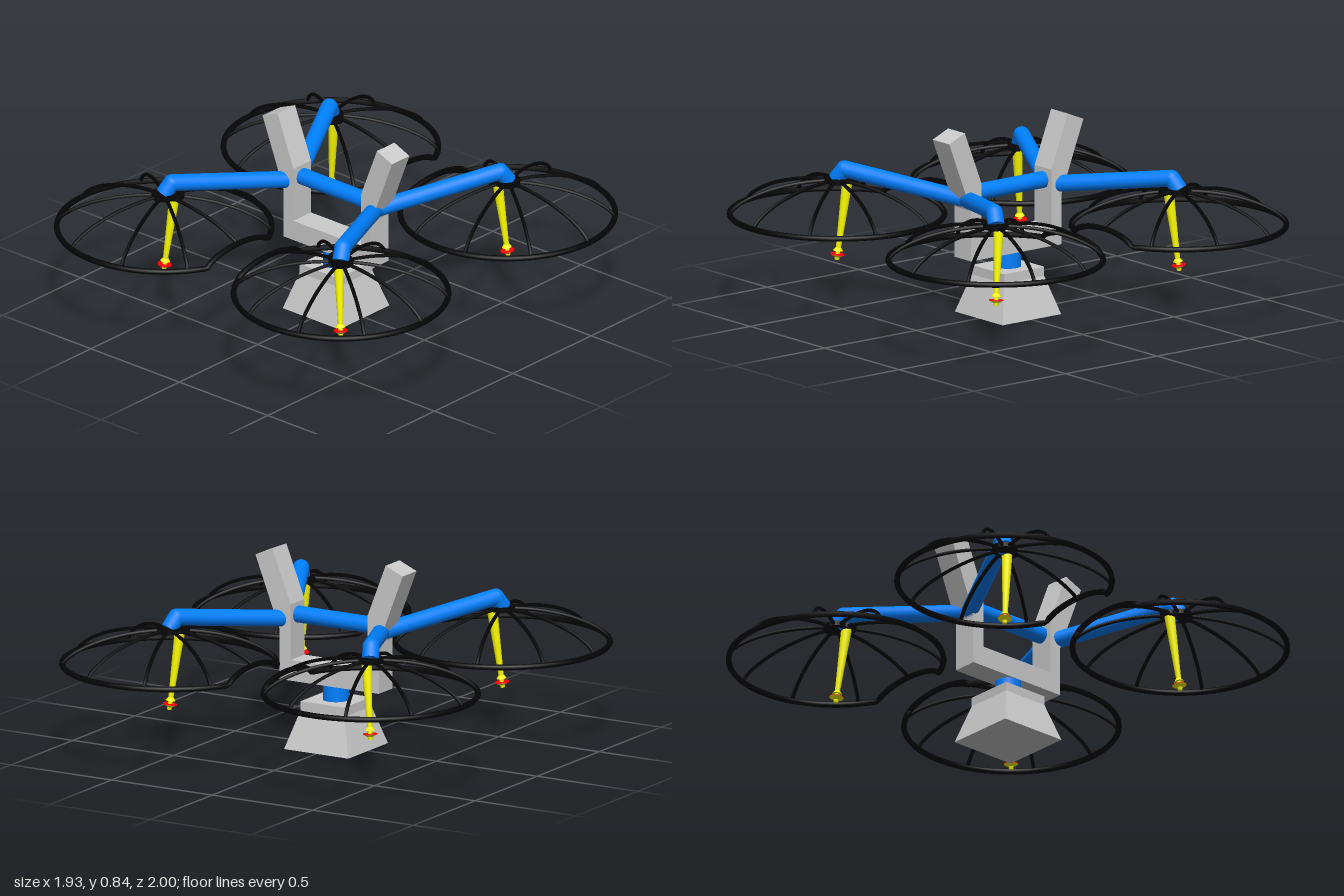
import * as THREE from 'three';

const mat = (color, extra = {}) => new THREE.MeshStandardMaterial({ color, ...extra });
const GREY = mat(0xcccccc, { flatShading: true });
const BLUE = mat(0x0080ff);
const BLACK = mat(0x050505);
const YELLOW = mat(0xffff00);
const RED = mat(0xff0000);
const V = (x, y, z) => new THREE.Vector3(x, y, z);

function add(parent, name, geometry, material, x = 0, y = 0, z = 0) {
  const mesh = new THREE.Mesh(geometry, material);
  mesh.name = name;
  mesh.position.set(x, y, z);
  parent.add(mesh);
  return mesh;
}

// Straight round bar between two points
function bar(parent, name, a, b, ra, rb, material) {
  const mesh = add(parent, name, new THREE.CylinderGeometry(rb, ra, a.distanceTo(b), 20), material);
  mesh.position.copy(a).lerp(b, 0.5);
  mesh.quaternion.setFromUnitVectors(V(0, 1, 0), b.clone().sub(a).normalize());
  return mesh;
}

// Guard cage: height of the dome above its rim at distance r from the hub
const R = 0.455, CUT = 0.413, RIM_Y = 0.409;
const domeY = (r) => RIM_Y + 0.146 * Math.pow(Math.max(0, 1 - (r / R) ** 2), 0.67);

function createGuard(sx) {
  const guard = new THREE.Group();
  guard.name = 'rotorGuard';

  // Rim: a circle whose inner side is cut flat and arches up along the dome
  const rim = [], a0 = Math.acos(CUT / R), zc = R * Math.sin(a0);
  for (let i = 0; i <= 60; i++) {
    const a = a0 + (i / 60) * (2 * Math.PI - 2 * a0);
    rim.push(V(-sx * R * Math.cos(a), RIM_Y, R * Math.sin(a)));
  }
  for (let i = 1; i < 20; i++) {
    const z = -zc * Math.cos((i / 20) * Math.PI);
    rim.push(V(-sx * CUT, domeY(Math.hypot(CUT, z)), z));
  }
  add(guard, 'guardRim', new THREE.TubeGeometry(new THREE.CatmullRomCurve3(rim, true), 180, 0.0125, 8, true), BLACK);

  // Ten curved ribs
  for (let k = 0; k < 10; k++) {
    const a = (k * Math.PI) / 5;
    const c = Math.cos(a) * sx, s = Math.sin(a);
    const end = k === 5 ? CUT : R;
    const pts = [];
    for (let i = 0; i <= 14; i++) {
      const r = 0.03 + (end - 0.03) * Math.sin((i / 14) * Math.PI / 2);
      pts.push(V(r * c, domeY(r), r * s));
    }
    add(guard, 'guardRib', new THREE.TubeGeometry(new THREE.CatmullRomCurve3(pts), 28, 0.008, 6), BLACK);
  }

  add(guard, 'guardHub', new THREE.CylinderGeometry(0.054, 0.054, 0.02, 24), BLACK, 0, 0.555, 0);
  return guard;
}

// Arm, guard and landing leg of one corner
function createCorner(sx, sz) {
  const corner = new THREE.Group();
  corner.name = (sz > 0 ? 'front' : 'rear') + (sx > 0 ? 'Left' : 'Right') + 'Rotor';
  const P = (x, y, z) => V(x * sx, y, z * sz);

  // Bent arm with a rounded elbow
  const path = [P(0.224, 0.528, 0), P(0.484, 0.607, 0.503), P(0.5, 0.56, 0.535)];
  bar(corner, 'arm', path[0], path[1], 0.036, 0.036, BLUE);
  bar(corner, 'armTip', path[1], path[2], 0.036, 0.036, BLUE);
  add(corner, 'armElbow', new THREE.SphereGeometry(0.036, 20, 14), BLUE, ...path[1].toArray());

  const guard = createGuard(sx);
  guard.position.set(0.5 * sx, 0, 0.532 * sz);
  corner.add(guard);

  // Leaning leg with collar, ending in a small flare over a red-topped foot
  const top = P(0.463, 0.556, 0.507), foot = P(0.5, 0.208, 0.534);
  const at = (t) => top.clone().lerp(foot, t);
  add(corner, 'legCollar', new THREE.CylinderGeometry(0.042, 0.042, 0.018, 24), BLACK, ...top.toArray());
  bar(corner, 'leg', top, at(0.93), 0.023, 0.01, YELLOW);
  bar(corner, 'footFlare', at(0.84), at(0.885), 0.01, 0.021, YELLOW);
  bar(corner, 'footTop', at(0.925), at(0.935), 0.03, 0.031, RED);
  bar(corner, 'footPad', at(0.935), at(0.965), 0.031, 0.012, YELLOW);
  bar(corner, 'footTip', at(0.96), at(1), 0.012, 0.009, YELLOW);
  return corner;
}

export function createModel() {
  const model = new THREE.Group();
  model.name = 'quadcopter';

  // U-shaped frame with splayed horns
  const side = [[0.247, 0.272], [0.247, 0.492], [0.366, 0.8], [0.281, 0.836], [0.191, 0.605], [0.191, 0.362]];
  const outline = [...side, ...side.map(([x, y]) => [-x, y]).reverse()];
  const frame = new THREE.ExtrudeGeometry(
    new THREE.Shape(outline.map(([x, y]) => new THREE.Vector2(x, y))),
    { depth: 0.112, bevelEnabled: false });
  add(model, 'frame', frame, GREY, 0, 0, -0.056);

  // Crossbar and neck
  bar(model, 'crossbar', V(-0.215, 0.552, 0), V(0.215, 0.552, 0), 0.036, 0.036, BLUE);
  add(model, 'neck', new THREE.CylinderGeometry(0.056, 0.056, 0.1, 28), BLUE, 0, 0.235, 0);

  // Flared four-sided base
  const q = Math.SQRT2;
  const profile = [[0, 0], [0.16, 0], [0.109, 0.165], [0.109, 0.205], [0, 0.205]]
    .map(([r, y]) => new THREE.Vector2(r * q, y));
  add(model, 'base', new THREE.LatheGeometry(profile, 4, Math.PI / 4), GREY);

  for (const sx of [1, -1]) for (const sz of [1, -1]) model.add(createCorner(sx, sz));
  return model;
}
